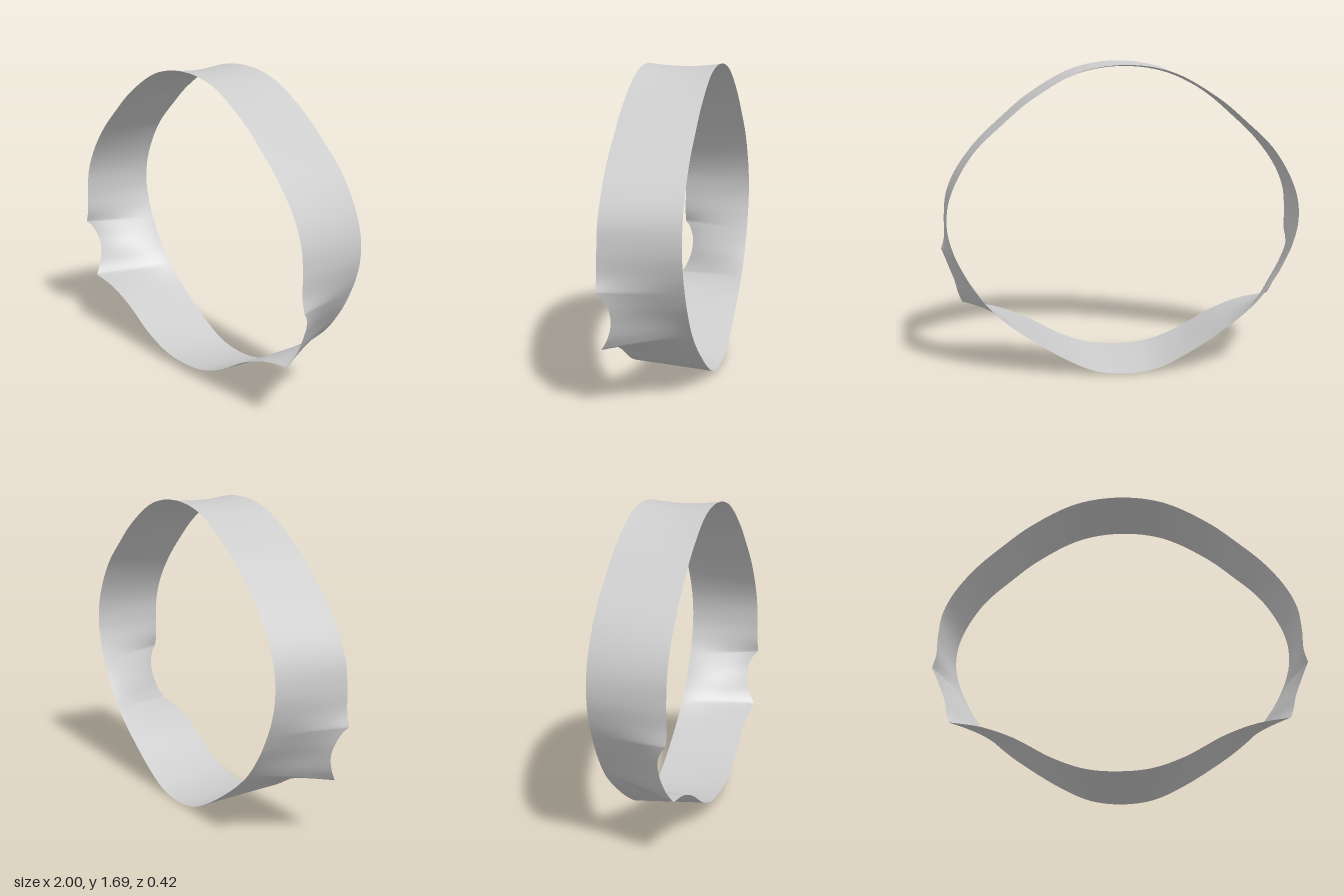
import * as THREE from 'three';

// Half of the band outline, bottom centre to top centre:
// [back x, back y, front x, front y, front z]
const HALF = [
  [0, 0, 0, 0.045, 0.21],
  [0.17, 0.022, 0.17, 0.06, 0.21],
  [0.34, 0.1, 0.34, 0.12, 0.21],
  [0.55, 0.235, 0.55, 0.235, 0.21],
  [0.63, 0.295, 0.72, 0.297, 0.21],
  [0.71, 0.365, 0.89, 0.325, 0.21], // lower notch tip
  [0.755, 0.415, 0.91, 0.385, 0.175],
  [0.80, 0.475, 0.93, 0.47, 0.15],
  [0.84, 0.535, 0.96, 0.55, 0.153],
  [0.87, 0.59, 0.985, 0.61, 0.178],
  [0.89, 0.63, 1.0, 0.64, 0.205], // upper notch tip
  [0.92, 0.7, 0.982, 0.71, 0.205],
  [0.95, 0.82, 0.98, 0.83, 0.203],
  [0.945, 0.95, 0.965, 0.96, 0.202],
  [0.9, 1.08, 0.91, 1.09, 0.2],
  [0.8, 1.24, 0.8, 1.24, 0.2],
  [0.65, 1.385, 0.65, 1.385, 0.198],
  [0.5, 1.51, 0.5, 1.51, 0.197],
  [0.25, 1.65, 0.25, 1.65, 0.195],
  [0, 1.69, 0, 1.69, 0.195],
];
const BACK_Z = -0.21, CENTRE_X = -0.005, STEPS = 6, ROWS = 16;

function createBandGeometry() {
  // Mirror the half outline into a closed loop
  const mirrored = HALF.slice(1, -1).reverse().map(([bx, by, fx, fy, fz]) => [-bx, by, -fx, fy, fz]);
  const loop = [...HALF, ...mirrored];
  const n = loop.length;
  const back = new THREE.CatmullRomCurve3(loop.map(p => new THREE.Vector3(p[0], p[1], BACK_Z)), true);

  // The front edge is split at the four notch tips so they stay sharp
  const tips = [5, 10, n - 10, n - 5, n + 5];
  const columns = [];
  for (let s = 0; s < 4; s++) {
    const from = tips[s], span = tips[s + 1] - from;
    const points = [];
    for (let i = 0; i <= span; i++) {
      const p = loop[(from + i) % n];
      points.push(new THREE.Vector3(p[2], p[3], p[4]));
    }
    const front = new THREE.CatmullRomCurve3(points);
    for (let k = 0; k < span * STEPS; k++) {
      const t = k / (span * STEPS);
      columns.push([back.getPoint(((from + t * span) % n) / n), front.getPoint(t)]);
    }
  }

  // Loft from back edge to front edge
  const positions = [], indices = [];
  const count = columns.length, stride = ROWS + 1;
  columns.forEach(([b, f], c) => {
    const flare = 1 + 0.7 * Math.exp(-(((f.y - 0.48) / 0.17) ** 2)); // curls out at the notches
    const sag = 0.015 * THREE.MathUtils.smoothstep(f.y, 1.45, 1.69); // shallow dip along the top
    for (let r = 0; r <= ROWS; r++) {
      const t = r / ROWS, e = t ** flare;
      positions.push(
        THREE.MathUtils.lerp(b.x, f.x, e) + CENTRE_X,
        THREE.MathUtils.lerp(b.y, f.y, e) - 4 * t * (1 - t) * sag,
        THREE.MathUtils.lerp(b.z, f.z, t));
      if (r < ROWS) {
        const a = c * stride + r, d = ((c + 1) % count) * stride + r;
        indices.push(a, d, a + 1, d, d + 1, a + 1);
      }
    }
  });

  const geometry = new THREE.BufferGeometry();
  geometry.setAttribute('position', new THREE.Float32BufferAttribute(positions, 3));
  geometry.setIndex(indices);
  geometry.computeVertexNormals();
  return geometry;
}

export function createModel() {
  const group = new THREE.Group();
  const material = new THREE.MeshStandardMaterial({ color: 0xcccccc, side: THREE.DoubleSide });
  const band = new THREE.Mesh(createBandGeometry(), material);
  band.name = 'notchedBand';
  group.add(band);
  return group;
}
